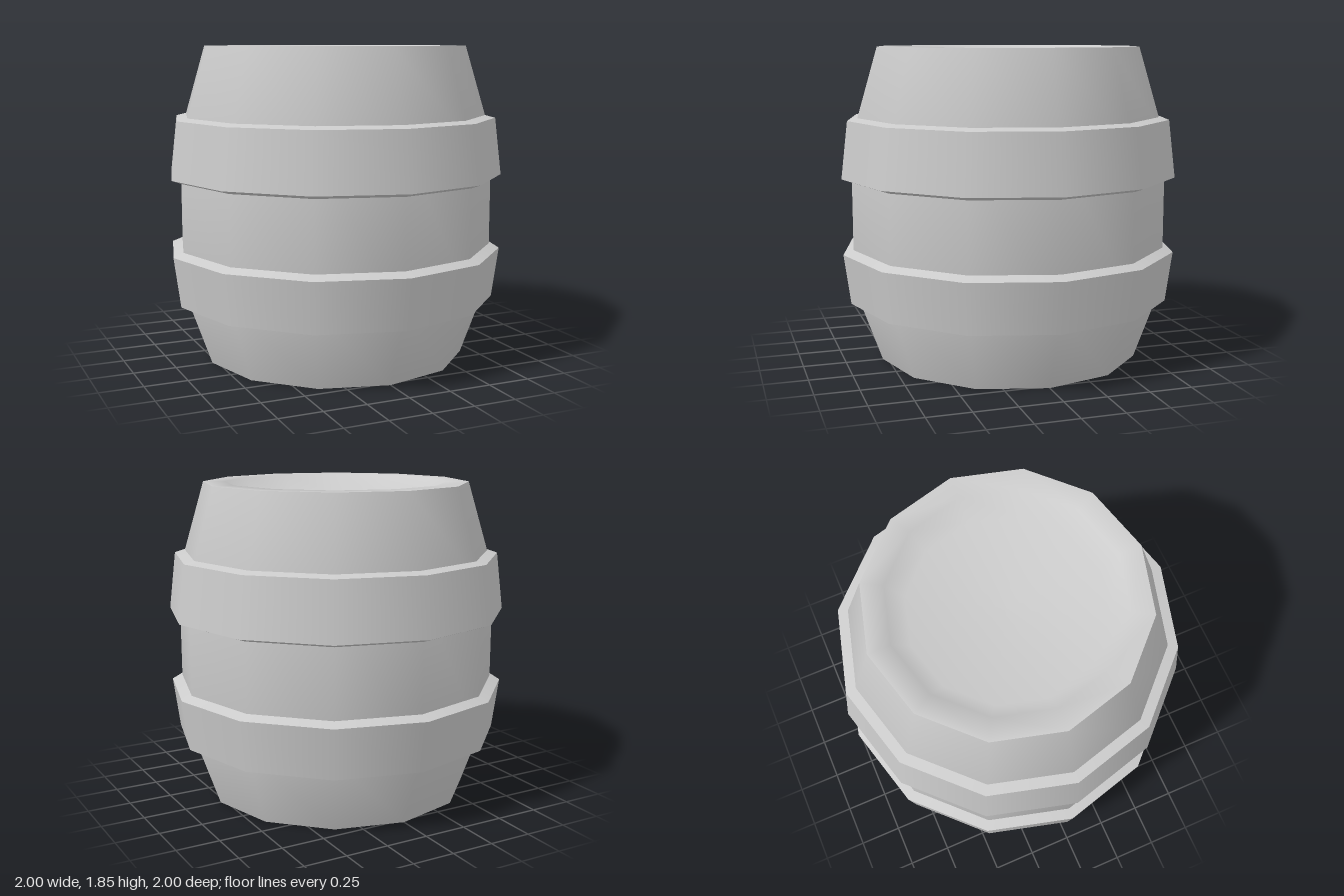
import * as THREE from 'three';
import { mergeGeometries } from 'three/addons/utils/BufferGeometryUtils.js';

const SIDES = 12;
const material = new THREE.MeshStandardMaterial({ color: 0xcccccc });

// Turns each run of [radius, height] points smoothly; the joints between runs stay sharp
function turned(name, runs) {
  const parts = runs.map((run) =>
    new THREE.LatheGeometry(run.map(([r, y]) => new THREE.Vector2(r, y)), SIDES));
  const mesh = new THREE.Mesh(mergeGeometries(parts), material);
  mesh.name = name;
  return mesh;
}

export function createModel() {
  const group = new THREE.Group();
  group.name = 'barrel';

  // Staves: tapered ends and a straight middle
  group.add(turned('staves', [
    [[0.78, 0], [0.94, 0.45], [0.94, 1.31], [0.78, 1.85]],
  ]));

  // Ends: a flat rim around a shallow dish
  group.add(turned('bottomEnd', [
    [[0, 0.1], [0.54, 0.09], [0.65, 0], [0.78, 0]],
  ]));
  group.add(turned('topEnd', [
    [[0.78, 1.85], [0.65, 1.85], [0.55, 1.73], [0, 1.72]],
  ]));

  // Hoops: flared bands with bevelled edges, widest towards the middle
  const hoops = {
    lowerHoop: [[0.89, 0.335], [0.96, 0.355], [1, 0.65], [0.93, 0.68]],
    upperHoop: [[0.93, 1.07], [1, 1.095], [0.96, 1.43], [0.88, 1.45]],
  };
  for (const [name, p] of Object.entries(hoops)) {
    group.add(turned(name, [[p[0], p[1]], [p[1], p[2]], [p[2], p[3]]]));
  }
  return group;
}
